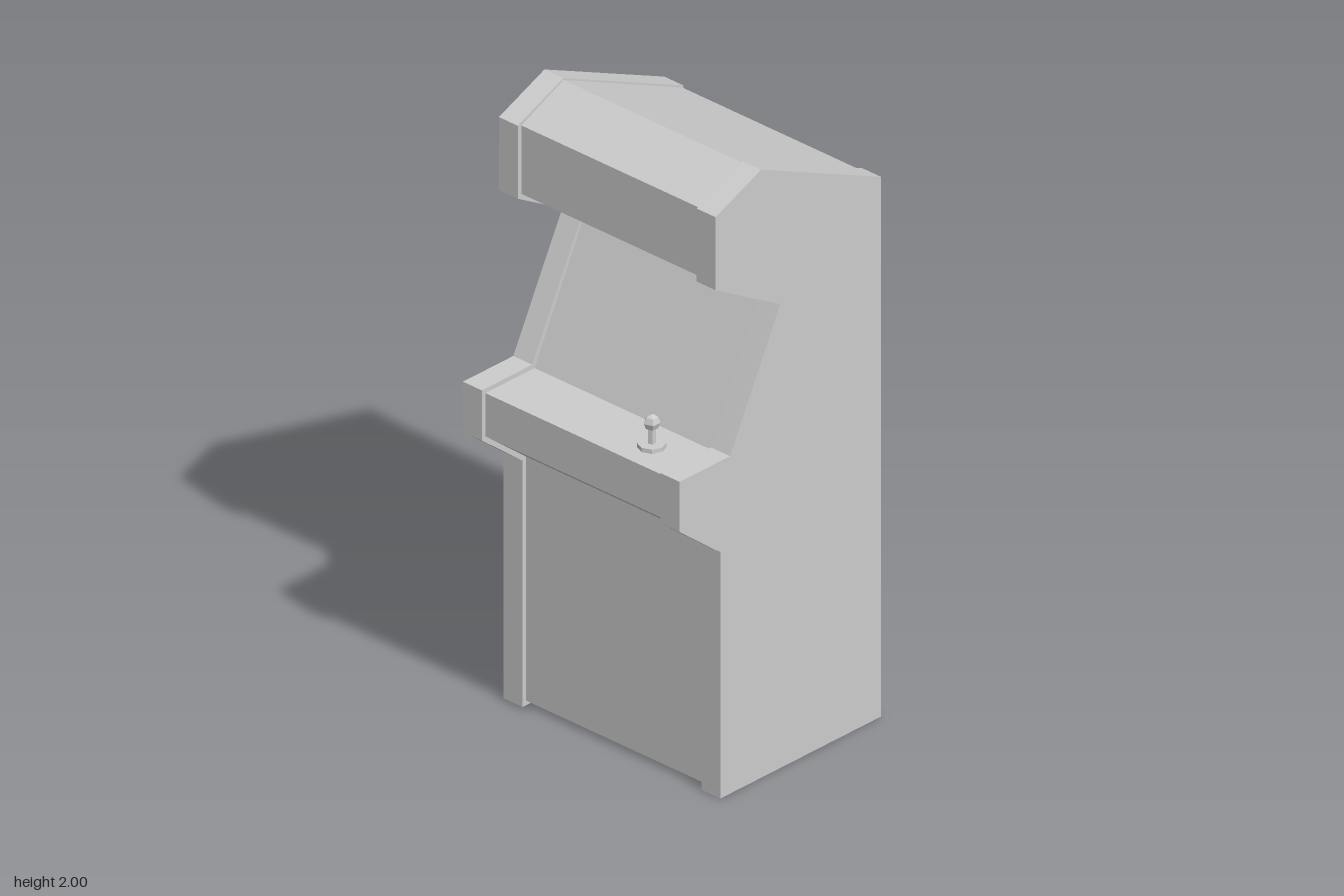
import * as THREE from 'three';

const cabinetGrey = new THREE.MeshStandardMaterial({ color: 0xcccccc, flatShading: true });
cabinetGrey.name = 'cabinetGrey';

// Side outline of the cabinet; the player stands on the -x side
const panelOutline = [
  [-0.25, 0], [0.42, 0], [0.42, 1.775], [-0.08, 2], [-0.27, 1.92], [-0.27, 1.68],
  [0, 1.525], [-0.21, 1.11], [-0.42, 1.11], [-0.42, 0.945], [-0.25, 0.81],
];
// The same outline, slightly recessed, for the body between the panels
const bodyOutline = [
  [-0.235, 0.015], [0.405, 0.015], [0.418, 1.768], [-0.08, 1.994], [-0.255, 1.915], [-0.255, 1.69],
  [0.017, 1.533], [-0.2, 1.095], [-0.405, 1.095], [-0.405, 0.953], [-0.235, 0.818],
];

function addMesh(parent, name, geometry, x = 0, y = 0, z = 0) {
  const mesh = new THREE.Mesh(geometry, cabinetGrey);
  mesh.name = name;
  mesh.position.set(x, y, z);
  parent.add(mesh);
  return mesh;
}

function slab(outline, depth) {
  const shape = new THREE.Shape(outline.map(([x, y]) => new THREE.Vector2(x, y)));
  const geometry = new THREE.ExtrudeGeometry(shape, { depth, bevelEnabled: false });
  return geometry.translate(0, 0, -depth / 2);
}

export function createModel() {
  const model = new THREE.Group();
  model.name = 'arcadeCabinet';

  // Body with marquee, screen slope, control shelf and back
  addMesh(model, 'body', slab(bodyOutline, 0.71));

  // Two side panels
  for (const side of [-1, 1]) {
    addMesh(model, side > 0 ? 'frontSidePanel' : 'backSidePanel', slab(panelOutline, 0.075), 0, 0, side * 0.3925);
  }

  // Joystick on the control shelf
  const joystick = new THREE.Group();
  joystick.name = 'joystick';
  joystick.position.set(-0.305, 1.095, 0.21);
  addMesh(joystick, 'joystickBase', new THREE.CylinderGeometry(0.043, 0.043, 0.014, 8), 0, 0.007, 0);
  addMesh(joystick, 'joystickShaft', new THREE.CylinderGeometry(0.013, 0.013, 0.06, 5), 0, 0.04, 0).rotation.y = Math.PI;
  addMesh(joystick, 'joystickKnob', new THREE.SphereGeometry(0.026, 5, 4), 0, 0.081, 0).rotation.y = -Math.PI / 2;
  model.add(joystick);

  return model;
}
